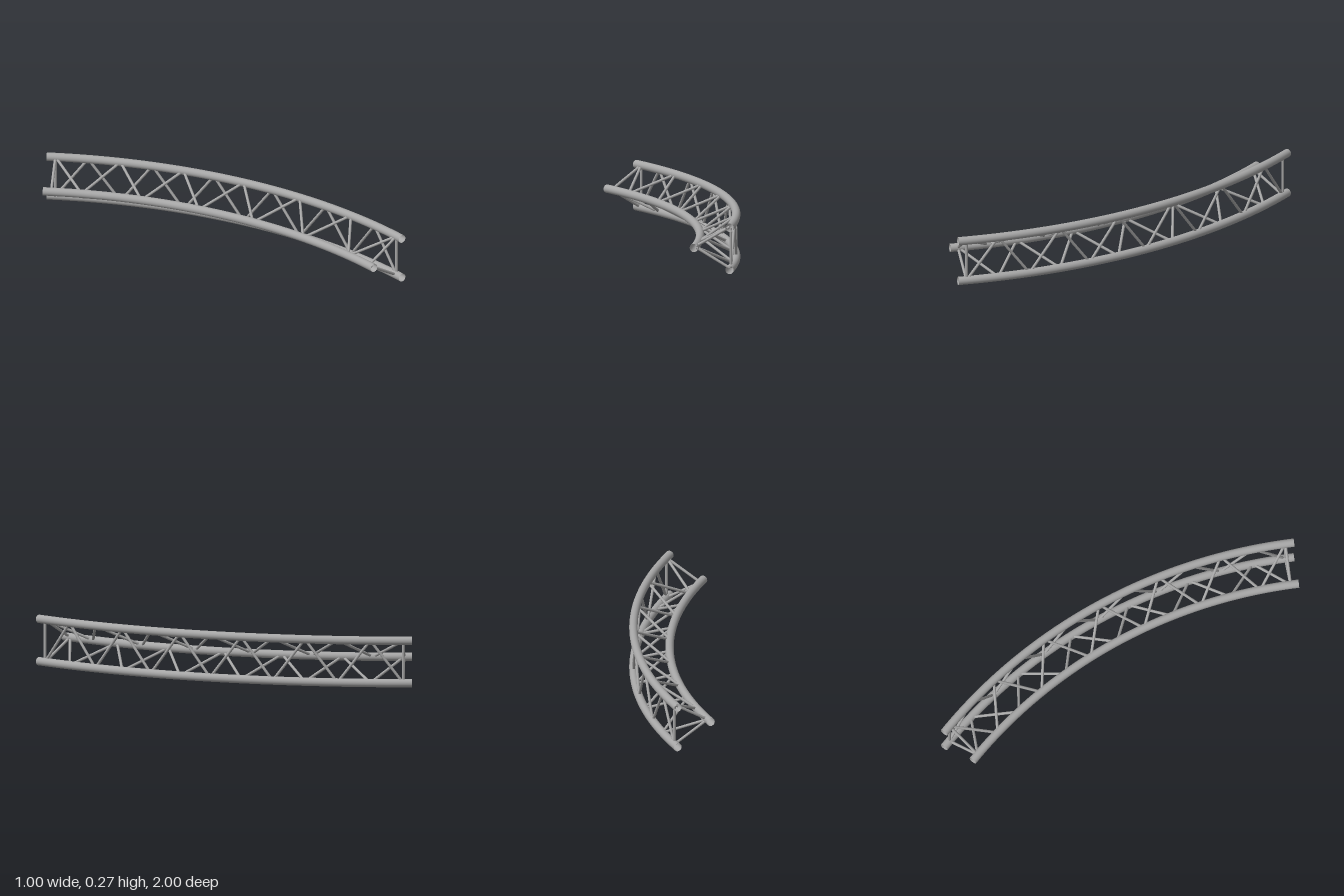
import * as THREE from 'three';

const CENTER_X = -2.331, CENTER_Z = 1;   // centre of the bend
const SWEEP = Math.PI / 4;
const TUBE_R = 0.0225, BRACE_R = 0.0075;
const BAYS = 12;

// Chords of the triangular section: bend radius and height
const chords = {
  upperOuter: { r: 2.806, y: 0.25 },
  lowerOuter: { r: 2.806, y: 0.0225 },
  inner: { r: 2.614, y: 0.136 },
};

const pointAt = ({ r, y }, a) =>
  new THREE.Vector3(CENTER_X + r * Math.cos(a), y, CENTER_Z - r * Math.sin(a));

class ChordArc extends THREE.Curve {
  constructor(chord) {
    super();
    this.chord = chord;
  }
  getPoint(t, target = new THREE.Vector3()) {
    return target.copy(pointAt(this.chord, t * SWEEP));
  }
}

export function createModel() {
  const group = new THREE.Group();
  const metal = new THREE.MeshStandardMaterial({ color: 0xa6a6a6, side: THREE.DoubleSide });

  // Main curved tubes, open at the ends
  for (const [name, chord] of Object.entries(chords)) {
    const tube = new THREE.Mesh(
      new THREE.TubeGeometry(new ChordArc(chord), 48, TUBE_R, 24, false), metal);
    tube.name = name + 'Tube';
    group.add(tube);
  }

  // Straight round bar between two points
  const up = new THREE.Vector3(0, 1, 0);
  const addBar = (name, a, b) => {
    const dir = b.clone().sub(a);
    const bar = new THREE.Mesh(
      new THREE.CylinderGeometry(BRACE_R, BRACE_R, dir.length() - 0.016, 12), metal);
    bar.position.copy(a).add(b).multiplyScalar(0.5);
    bar.quaternion.setFromUnitVectors(up, dir.normalize());
    bar.name = name;
    group.add(bar);
  };

  // Each face: the first chord holds the even nodes, the second the odd ones
  const { upperOuter, lowerOuter, inner } = chords;
  const faces = [
    ['upper', upperOuter, inner],
    ['lower', inner, lowerOuter],
    ['outer', lowerOuter, upperOuter],
  ];
  const first = THREE.MathUtils.degToRad(0.95);
  const last = SWEEP - first;
  const angle = k => first + (last - first) * k / BAYS;

  for (const [name, even, odd] of faces) {
    // Zigzag bracing
    for (let k = 0; k < BAYS; k++) {
      const [from, to] = k % 2 ? [odd, even] : [even, odd];
      addBar(name + 'Brace', pointAt(from, angle(k)), pointAt(to, angle(k + 1)));
    }
    // Cross bars closing both ends
    for (const a of [first, last]) addBar(name + 'EndBar', pointAt(even, a), pointAt(odd, a));
  }
  return group;
}
